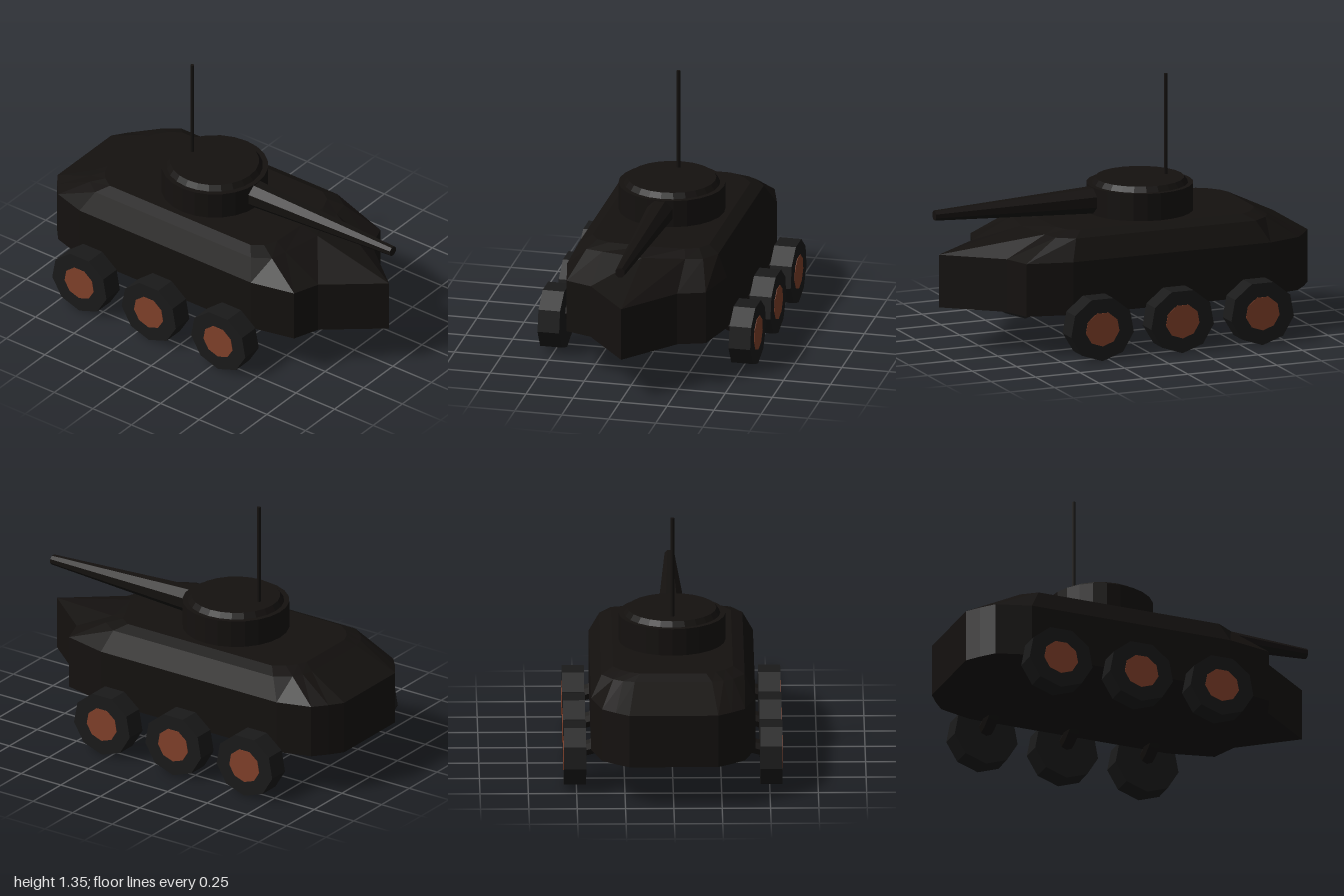
import * as THREE from 'three';

const paint = (color) => new THREE.MeshStandardMaterial({ color, flatShading: true });

function addMesh(parent, name, geometry, material) {
  const mesh = new THREE.Mesh(geometry, material);
  mesh.name = name;
  parent.add(mesh);
  return mesh;
}

// Stacked horizontal outlines, each given as its +z half from back to nose
function loftHull(levels) {
  const rings = levels.map(([y, half]) => [
    ...half.map(([x, z]) => new THREE.Vector3(x, y, z)),
    ...half.slice(0, -1).reverse().map(([x, z]) => new THREE.Vector3(x, y, -z)),
  ]);
  const points = [];
  const count = rings[0].length;
  const last = rings.length - 1;
  const bottomCentre = new THREE.Vector3(0, levels[0][0], 0);
  const topCentre = new THREE.Vector3(0, levels[last][0], 0);
  for (let i = 0; i < count; i++) {
    const j = (i + 1) % count;
    for (let k = 0; k < last; k++) {
      const a = rings[k], b = rings[k + 1];
      points.push(a[i], a[j], b[j], a[i], b[j], b[i]);
    }
    points.push(bottomCentre, rings[0][j], rings[0][i]);
    points.push(topCentre, rings[last][i], rings[last][j]);
  }
  const geometry = new THREE.BufferGeometry().setFromPoints(points);
  geometry.computeVertexNormals();
  return geometry;
}

// Wheel with hub and drooping axle, facing +z
function createWheel(tyrePaint, hubPaint, bodyPaint) {
  const wheel = new THREE.Group();
  const tyre = addMesh(wheel, 'tyre',
    new THREE.CylinderGeometry(0.17, 0.17, 0.115, 9).rotateX(Math.PI / 2), tyrePaint);
  tyre.scale.x = 1.05;
  tyre.position.set(0, 0.17, 0.508);
  const hub = addMesh(wheel, 'hub',
    new THREE.CylinderGeometry(0.091, 0.091, 0.02, 9).rotateX(Math.PI / 2), hubPaint);
  hub.scale.x = 1.05;
  hub.position.set(0, 0.17, 0.558);
  const path = new THREE.CatmullRomCurve3([
    new THREE.Vector3(0, 0.195, 0.47),
    new THREE.Vector3(0, 0.215, 0.405),
    new THREE.Vector3(0, 0.27, 0.33),
  ]);
  addMesh(wheel, 'axle', new THREE.TubeGeometry(path, 3, 0.041, 8), bodyPaint);
  return wheel;
}

export function createModel() {
  const model = new THREE.Group();
  model.name = 'armouredVehicle';
  const bodyPaint = paint(0x14110f);
  const tyrePaint = paint(0x1a1a1a);
  const hubPaint = paint(0x80402a);

  // Hull with pointed nose and bevelled shoulders
  const wall = [[-1, 0.23], [-0.95, 0.3], [-0.89, 0.37], [-0.71, 0.425],
    [0.4, 0.425], [0.64, 0.37], [0.69, 0.23], [0.975, 0]];
  const shoulder = [[-0.775, 0.2], [-0.76, 0.26], [-0.73, 0.31], [-0.65, 0.37],
    [0.36, 0.37], [0.45, 0.31], [0.47, 0.22], [0.51, 0]];
  const deck = [[-0.72, 0.17], [-0.7, 0.22], [-0.66, 0.27], [-0.6, 0.31],
    [0.31, 0.31], [0.37, 0.27], [0.4, 0.2], [0.41, 0]];
  addMesh(model, 'hull',
    loftHull([[0.225, wall], [0.505, wall], [0.615, shoulder], [0.643, deck]]), bodyPaint);

  // Round turret with a raised lid
  const turretProfile = [[0, 0.63], [0.277, 0.63], [0.277, 0.787], [0.25, 0.787],
    [0.23, 0.815], [0, 0.815]].map(([r, y]) => new THREE.Vector2(r, y));
  addMesh(model, 'turret', new THREE.LatheGeometry(turretProfile, 24), bodyPaint)
    .position.x = -0.155;

  // Tapered gun barrel
  const barrel = addMesh(model, 'gunBarrel',
    new THREE.CylinderGeometry(0.027, 0.074, 0.92, 8).rotateY(Math.PI / 8).rotateZ(-Math.PI / 2),
    bodyPaint);
  barrel.position.set(0.54, 0.716, 0);

  // Antenna
  addMesh(model, 'antenna', new THREE.CylinderGeometry(0.01, 0.01, 0.55, 8), bodyPaint)
    .position.set(-0.3, 1.075, 0);

  // Three wheels on each side
  for (const x of [-0.605, -0.155, 0.295]) {
    for (const turn of [0, Math.PI]) {
      const wheel = createWheel(tyrePaint, hubPaint, bodyPaint);
      wheel.name = turn ? 'backWheel' : 'frontWheel';
      wheel.position.x = x;
      wheel.rotation.y = turn;
      model.add(wheel);
    }
  }
  return model;
}
